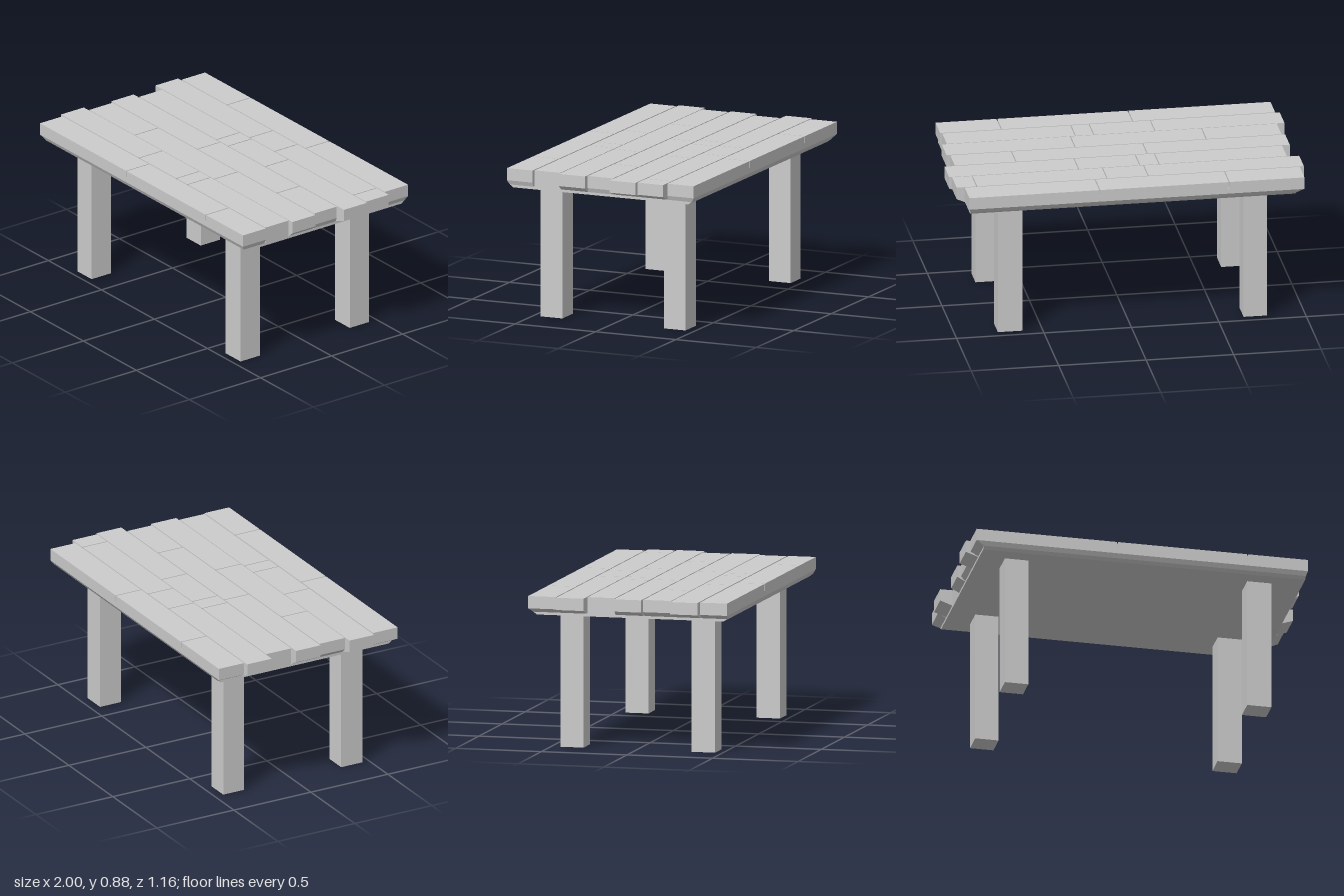
import * as THREE from 'three';

const TOP = 0.88, MID = 0.81, LOW = 0.785, BASE = 0.77;
const SLAB_X = 0.93, SLAB_Z = 0.565;

// Each row of planks: back and front z, then the x of its ends and seams
const ROWS = [
  { z: [-0.583, -0.42], x: [-0.975, -0.545, 0.195, 0.94] },
  { z: [-0.413, -0.254], x: [-1, -0.11, 0.125, 0.87, 0.985] },
  { z: [-0.248, -0.088], x: [-0.93, -0.2, -0.09, 0.26, 1] },
  { z: [-0.081, 0.076], x: [-0.975, -0.16, 0.59, 0.94] },
  { z: [0.083, 0.246], x: [-0.955, -0.525, 0.225, 0.96] },
  { z: [0.251, 0.411], x: [-1, -0.26, 0.09, 0.195, 0.93] },
  { z: [0.419, 0.578], x: [-0.975, -0.16, 0.59, 0.94] },
];

export function createModel() {
  const group = new THREE.Group();
  const material = new THREE.MeshStandardMaterial({ color: 0xcccccc, flatShading: true });

  const add = (name, geometry) => {
    const mesh = new THREE.Mesh(geometry, material);
    mesh.name = name;
    group.add(mesh);
  };

  // Box between limits whose bottom corners are pulled in to +-maxX, +-maxZ
  const block = ([x0, x1], [y0, y1], [z0, z1], maxX = 9, maxZ = 9) => {
    const g = new THREE.BoxGeometry(x1 - x0, y1 - y0, z1 - z0);
    g.translate((x0 + x1) / 2, (y0 + y1) / 2, (z0 + z1) / 2);
    const p = g.attributes.position;
    const mid = (y0 + y1) / 2;
    for (let i = 0; i < p.count; i++) {
      if (p.getY(i) > mid) continue;
      p.setX(i, THREE.MathUtils.clamp(p.getX(i), -maxX, maxX));
      p.setZ(i, THREE.MathUtils.clamp(p.getZ(i), -maxZ, maxZ));
    }
    g.computeVertexNormals();
    return g;
  };

  // Plank row: long bar with a narrow groove at every seam
  const plankRow = (xs, [z0, z1]) => {
    const half = 0.003, grooveY = 0.84;
    const first = xs[0], last = xs[xs.length - 1];
    const s = new THREE.Shape();
    s.moveTo(first, MID);
    s.lineTo(last, MID);
    s.lineTo(last, TOP);
    for (const x of xs.slice(1, -1).reverse()) {
      s.lineTo(x + half, TOP);
      s.lineTo(x + half, grooveY);
      s.lineTo(x - half, grooveY);
      s.lineTo(x - half, TOP);
    }
    s.lineTo(first, TOP);
    const g = new THREE.ExtrudeGeometry(s, { depth: z1 - z0, bevelEnabled: false });
    g.translate(0, 0, z0);
    return g;
  };

  // Tabletop planks with chamfered undersides
  for (const { x, z } of ROWS) {
    add('plankRow', plankRow(x, z));
    add('plankUnderside', block([x[0], x[x.length - 1]], [LOW, MID], z, SLAB_X, SLAB_Z));
  }

  // Slab that carries the planks
  add('tabletopBase', block([-SLAB_X, SLAB_X], [BASE, LOW], [-SLAB_Z, SLAB_Z], SLAB_X, 0.545));

  // Four square legs
  for (const x of [[-0.785, -0.65], [0.615, 0.755]]) {
    for (const z of [[0.32, 0.457], [-0.446, -0.311]]) {
      add('leg', block(x, [0, BASE + 0.005], z));
    }
  }
  return group;
}
